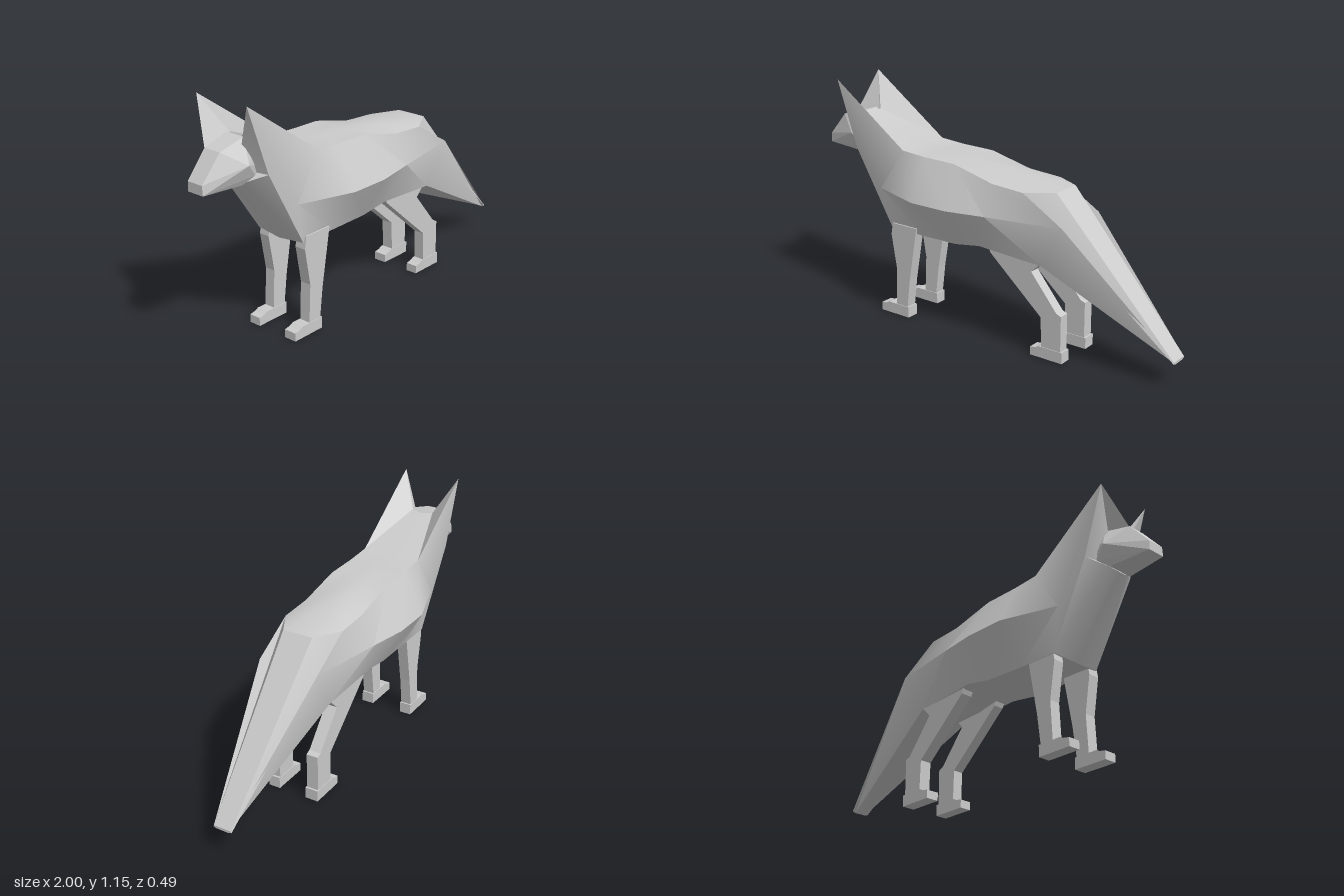
import * as THREE from 'three';
import { toCreasedNormals } from 'three/addons/utils/BufferGeometryUtils.js';
import { ConvexGeometry } from 'three/addons/geometries/ConvexGeometry.js';

const material = new THREE.MeshStandardMaterial({ color: 0xcccccc });
const thinMaterial = new THREE.MeshStandardMaterial({ color: 0xcccccc, side: THREE.DoubleSide });
const CENTRE_Z = -0.015;

// Half cross-sections from the collar to the tail tip, each running
// top middle, inner top, top corner, flank, belly corner, belly middle.
const sections = [
  [[-.73, .975, 0], [-.75, .98, .055], [-.84, 1.15, .147], [-.73, .83, .147], [-.79, .79, .06], [-.8, .78, 0]],
  [[-.43, .86, 0], [-.43, .86, .055], [-.43, .86, .147], [-.57, .65, .155], [-.52, .45, .135], [-.53, .44, 0]],
  [[-.3, .853, 0], [-.3, .853, .06], [-.3, .851, .147], [-.3, .65, .245], [-.32, .45, .135], [-.32, .45, 0]],
  [[-.12, .85, 0], [-.12, .85, .06], [-.12, .848, .147], [-.1, .65, .245], [-.12, .455, .14], [-.12, .455, 0]],
  [[.1, .83, 0], [.1, .828, .07], [.1, .795, .15], [.1, .655, .213], [.02, .478, .145], [.02, .478, 0]],
  [[.4, .79, 0], [.4, .79, .075], [.27, .785, .15], [.48, .66, .15], [.36, .455, .135], [.31, .42, 0]],
  [[1, .13, 0], [1, .13, .025], [1, .13, .045], [1, .123, .047], [1, .118, .03], [1, .118, 0]],
];

function loft(halves, frontCentre, rearCentre) {
  const rings = halves.map(h => [...h, ...h.slice(1, -1).reverse().map(([x, y, z]) => [x, y, -z])]);
  const n = rings[0].length;
  const index = [];
  for (let i = 0; i < rings.length - 1; i++) {
    for (let j = 0; j < n; j++) {
      const a = i * n + j, b = i * n + (j + 1) % n;
      // mirror the diagonals so both flanks match
      if (j < n / 2) index.push(a, b, b + n, a, b + n, a + n);
      else index.push(a, b, a + n, b, b + n, a + n);
    }
  }
  const front = rings.length * n, last = front - n;
  for (let j = 0; j < n; j++) {
    const k = (j + 1) % n;
    index.push(front, k, j, front + 1, last + j, last + k);
  }
  const geometry = new THREE.BufferGeometry();
  const points = [...rings.flat(), frontCentre, rearCentre];
  geometry.setAttribute('position', new THREE.Float32BufferAttribute(points.flat(), 3));
  geometry.setIndex(index);
  return toCreasedNormals(geometry, 0.6);
}

// A side outline given thickness across z
function slab(outline, z0, z1) {
  const shape = new THREE.Shape(outline.map(([x, y]) => new THREE.Vector2(x, y)));
  return new THREE.ExtrudeGeometry(shape, { depth: z1 - z0, bevelEnabled: false }).translate(0, 0, z0);
}

const frontLeg = [[-.5, .04], [-.43, .04], [-.41, .2], [-.36, .48], [-.51, .48], [-.52, .42], [-.49, .24]];
const hindLeg = [[.36, .04], [.465, .04], [.465, .23], [.44, .24], [.3, .41], [.36, .47], [.05, .49], [.07, .45], [.355, .2]];
const foot = [[0, 0], [.175, 0], [.175, .055], [.05, .055], [.03, .045], [0, .04]];

export function createModel() {
  const model = new THREE.Group();
  const add = (name, geometry, mat = material) => {
    const mesh = new THREE.Mesh(geometry, mat);
    mesh.name = name;
    model.add(mesh);
    return mesh;
  };

  // Torso, ears and tail share one skin
  add('bodyEarsAndTail', loft(sections, [-.76, .83, 0], [1, .124, 0])).position.z = CENTRE_Z;

  // Faceted head with a blunt muzzle
  const headHalf = [
    [-1, .835, .042], [-1, .79, .045], [-.9, .95, .045], [-.77, .985, .05], [-.72, .93, .06],
    [-.72, .86, .08], [-.8, .88, .108], [-.75, .82, .09], [-.8, .785, .065],
  ];
  const headPoints = headHalf.flatMap(([x, y, z]) => [z, -z].map(s => new THREE.Vector3(x, y, s)));
  add('head', new ConvexGeometry(headPoints)).position.z = CENTRE_Z;

  // Front fold of the right-hand ear
  const fold = new THREE.BufferGeometry();
  fold.setAttribute('position', new THREE.Float32BufferAttribute(
    [-.84, 1.15, -.162, -.9, .945, -.06, -.75, .975, -.07], 3));
  fold.computeVertexNormals();
  add('earFold', fold, thinMaterial);

  // Legs and feet
  const legs = [
    ['frontLegNear', frontLeg, .07, .133, -.595],
    ['frontLegFar', frontLeg, -.15, -.09, -.595],
    ['hindLegNear', hindLeg, .052, .11, .3],
    ['hindLegFar', hindLeg, -.155, -.09, .3],
  ];
  for (const [name, outline, z0, z1, toeX] of legs) {
    add(name, slab(outline, z0 + .003, z1 - .003));
    add(name + 'Foot', slab(foot, z0, z1).translate(toeX, 0, 0));
  }
  return model;
}
